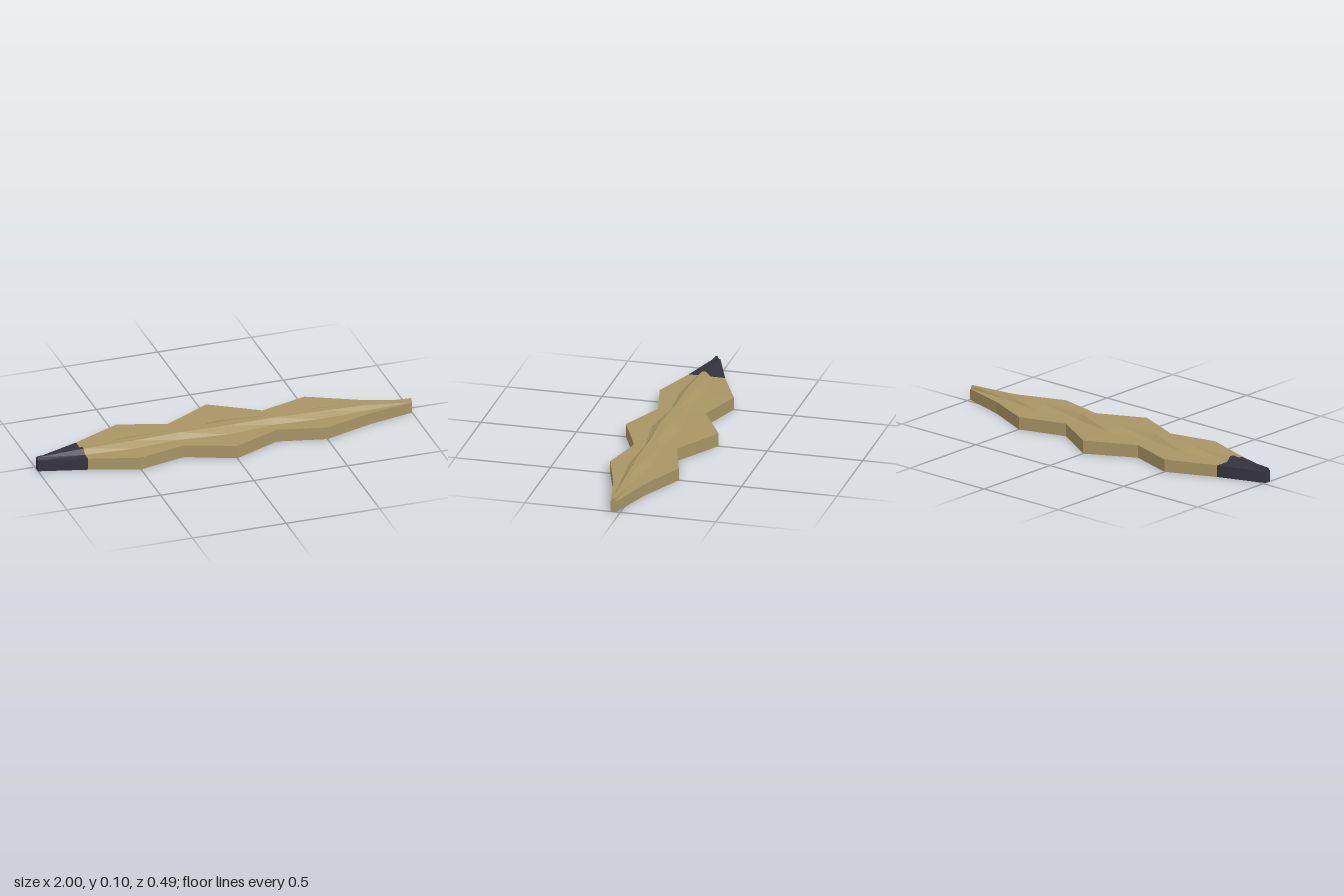
import * as THREE from 'three';

// Stations along x: outline back/front z, edge height, ridge foot back, ridge top back/front,
// ridge foot front, ridge height, depth of the groove underneath
const stations = [
  [-1.0, 0.015, 0.05, 0.06, 0.022, 0.03, 0.04, 0.046, 0.075, 0],
  [-0.755, -0.075, 0.115, 0.062, 0.0, 0.025, 0.045, 0.068, 0.086, 0.008],
  [-0.5, -0.19, 0.198, 0.066, -0.04, 0.015, 0.053, 0.092, 0.092, 0.02],
  [-0.25, -0.11, 0.14, 0.067, -0.012, 0.02, 0.05, 0.075, 0.096, 0.02],
  [0, -0.245, 0.24, 0.07, -0.058, 0.008, 0.06, 0.105, 0.098, 0.02],
  [0.25, -0.095, 0.13, 0.067, -0.008, 0.02, 0.05, 0.073, 0.096, 0.02],
  [0.5, -0.172, 0.188, 0.066, -0.036, 0.015, 0.052, 0.088, 0.091, 0.02],
  [0.75, -0.058, 0.104, 0.062, 0.005, 0.026, 0.046, 0.068, 0.083, 0.006],
  [1.0, 0.02, 0.05, 0.057, 0.025, 0.031, 0.041, 0.046, 0.073, 0],
];

// Closed cross-section, running up the back, over the ridge and down the front
function section([x, back, front, edge, footB, topB, topF, footF, ridge, groove]) {
  const half = 0.002 + groove;
  return [
    [0, back], [edge, back], [edge, footB], [ridge, topB], [ridge, topF],
    [edge, footF], [edge, front], [0, front],
    [0, 0.036 + half], [groove, 0.036], [0, 0.036 - half],
  ].map(([y, z]) => new THREE.Vector3(x, y, z));
}

// Joins successive sections; optional end caps
function loft(name, rows, material, capStart, capEnd) {
  const loops = rows.map(section);
  const points = [];
  for (let i = 0; i < loops.length - 1; i++) {
    const a = loops[i], b = loops[i + 1];
    for (let j = 0; j < a.length; j++) {
      const k = (j + 1) % a.length;
      points.push(a[j], b[k], b[j], a[j], a[k], b[k]);
    }
  }
  const cap = (loop, flip) => {
    const centre = new THREE.Vector3(loop[0].x, 0.03, 0.035);
    loop.forEach((p, j) => {
      const q = loop[(j + 1) % loop.length];
      points.push(centre, flip ? q : p, flip ? p : q);
    });
  };
  if (capStart) cap(loops[0], true);
  if (capEnd) cap(loops[loops.length - 1], false);
  const geometry = new THREE.BufferGeometry().setFromPoints(points);
  geometry.computeVertexNormals();
  const mesh = new THREE.Mesh(geometry, material);
  mesh.name = name;
  return mesh;
}

export function createModel() {
  const tan = new THREE.MeshStandardMaterial({ color: 0xa89564 });
  tan.name = 'tan';
  const charcoal = new THREE.MeshStandardMaterial({ color: 0x35333d });
  charcoal.name = 'charcoal';

  const model = new THREE.Group();
  model.name = 'ridgedBlade';
  model.add(
    loft('darkTip', stations.slice(0, 2), charcoal, true, false),
    loft('blade', stations.slice(1), tan, false, true),
  );
  return model;
}
